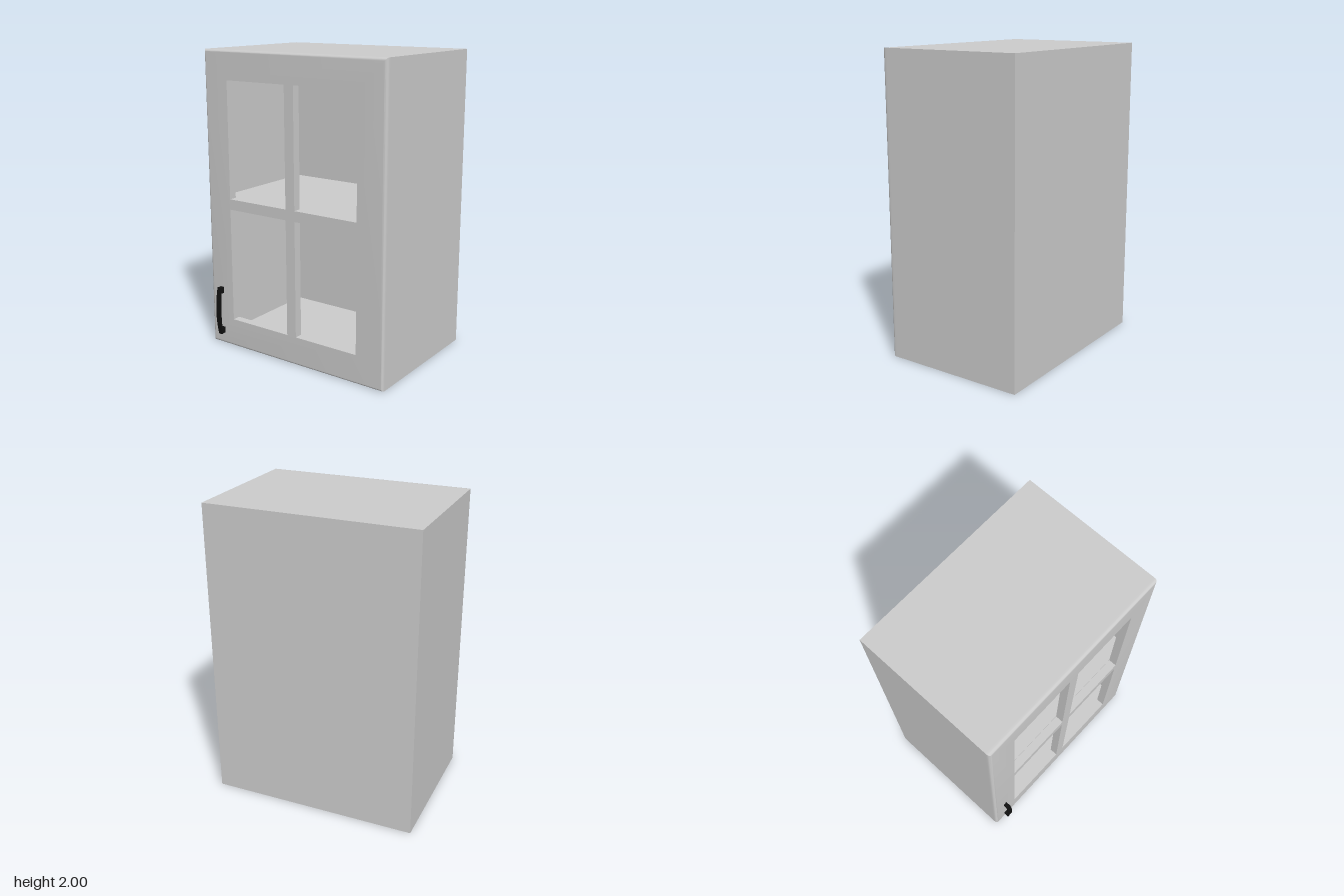
import * as THREE from 'three';
import { toCreasedNormals } from 'three/addons/utils/BufferGeometryUtils.js';

const W = 0.69, H = 2, BACK = -0.51, FRONT = 0.405, T = 0.03;
const PANES_X = [-0.5, -0.038, 0.032, 0.495];
const PANES_Y = [0.195, 0.965, 1.035, 1.81];

const grey = new THREE.MeshStandardMaterial({ color: 0xcccccc });
const black = new THREE.MeshStandardMaterial({ color: 0x111111 });

function box(name, x0, x1, y0, y1, z0, z1, material = grey) {
  const mesh = new THREE.Mesh(new THREE.BoxGeometry(x1 - x0, y1 - y0, z1 - z0), material);
  mesh.position.set((x0 + x1) / 2, (y0 + y1) / 2, (z0 + z1) / 2);
  mesh.name = name;
  return mesh;
}

function rectangle(path, x0, x1, y0, y1) {
  path.moveTo(x0, y0).lineTo(x1, y0).lineTo(x1, y1).lineTo(x0, y1).closePath();
  return path;
}

const nearest = (v, list) => list.reduce((a, b) => (Math.abs(b - v) < Math.abs(a - v) ? b : a));

// Door frame with four openings; only its outer front edge is rounded
function makeDoor() {
  const r = 0.02;
  const shape = rectangle(new THREE.Shape(), -W, W, 0, H);
  for (const i of [0, 2]) for (const j of [0, 2]) {
    shape.holes.push(rectangle(new THREE.Path(), PANES_X[i], PANES_X[i + 1], PANES_Y[j], PANES_Y[j + 1]));
  }
  const geo = new THREE.ExtrudeGeometry(shape, {
    depth: 0.055 - 2 * r, bevelThickness: r, bevelSize: r, bevelOffset: -r, bevelSegments: 5,
  });
  const p = geo.attributes.position;
  for (let i = 0; i < p.count; i++) {
    const x = p.getX(i), y = p.getY(i);
    if (Math.abs(x) < 0.6) p.setXY(i, nearest(x, PANES_X), nearest(y, PANES_Y));
    else if (p.getZ(i) < 0) p.setXY(i, Math.sign(x) * W, y < 1 ? 0 : H);
  }
  geo.translate(0, 0, FRONT + r);
  const door = new THREE.Mesh(toCreasedNormals(geo, 0.6), grey);
  door.name = 'doorFrame';
  return door;
}

// Bowed pull handle on two posts
function makeHandle() {
  const handle = new THREE.Group();
  handle.name = 'handle';
  const geo = new THREE.BoxGeometry(0.036, 0.335, 0.012, 1, 20, 1);
  const p = geo.attributes.position;
  for (let i = 0; i < p.count; i++) {
    const s = p.getY(i) / 0.1675;
    p.setX(i, p.getX(i) * (1 - 0.25 * s * s));
    p.setZ(i, p.getZ(i) + 0.504 - 0.016 * s * s);
  }
  const grip = new THREE.Mesh(toCreasedNormals(geo, 0.5), black);
  grip.name = 'handleGrip';
  grip.position.set(-0.595, 0.245, 0);
  handle.add(grip);
  for (const y of [0.1, 0.39]) {
    handle.add(box('handlePost', -0.608, -0.582, y - 0.021, y + 0.021, 0.455, 0.491, black));
  }
  return handle;
}

export function createModel() {
  const model = new THREE.Group();
  model.name = 'wallCabinet';

  // Carcass
  model.add(
    box('rightSide', -W, -W + T, 0, H, BACK, FRONT),
    box('leftSide', W - T, W, 0, H, BACK, FRONT),
    box('bottomPanel', -W + T, W - T, 0, T, BACK, FRONT),
    box('topPanel', -W + T, W - T, H - T, H, BACK, FRONT),
    box('backPanel', -W + T, W - T, T, H - T, BACK, BACK + T),
    box('shelf', -W + T, W - T, 0.985, 1.015, BACK + T, FRONT - 0.005),
  );

  model.add(makeDoor(), makeHandle());
  return model;
}
